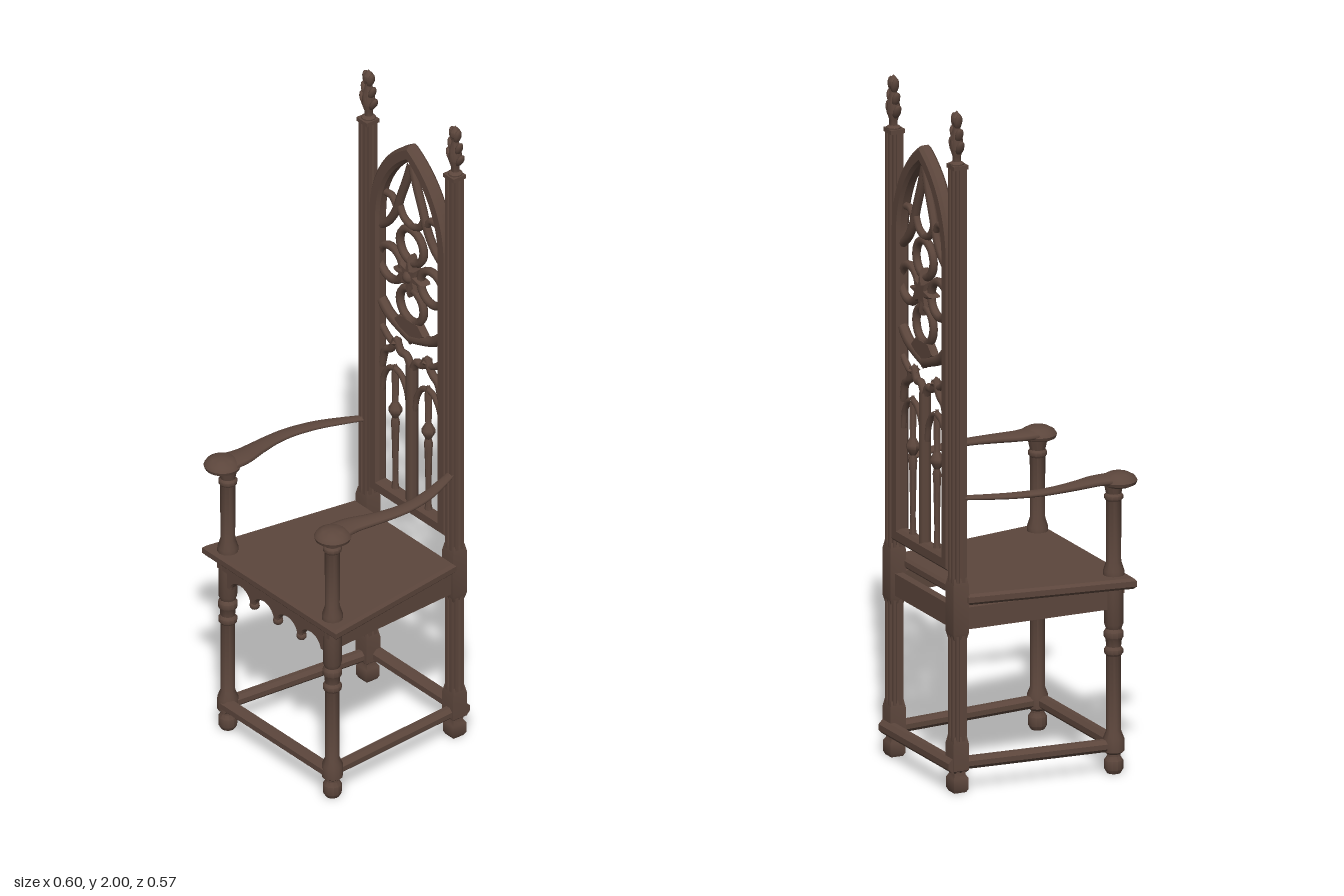
import * as THREE from 'three';
import { toCreasedNormals } from 'three/addons/utils/BufferGeometryUtils.js';

const V2 = (x, y) => new THREE.Vector2(x, y);
const V3 = (x, y, z) => new THREE.Vector3(x, y, z);

export function createModel() {
  const root = new THREE.Group();
  root.name = 'gothicArmchair';
  const wood = new THREE.MeshStandardMaterial({ color: 0x5c463c });
  wood.name = 'dark brown wood';

  const add = (name, geo, x = 0, y = 0, z = 0, parent = root) => {
    const m = new THREE.Mesh(geo, wood);
    m.name = name;
    m.position.set(x, y, z);
    parent.add(m);
    return m;
  };
  const lathe = (pts, sides = 16) =>
    toCreasedNormals(new THREE.LatheGeometry(pts.map(p => V2(p[0], p[1])), sides), 0.7);
  // straight bar between two points
  const bar = (name, a, b, w, h) => {
    const m = add(name, new THREE.BoxGeometry(w, h, a.distanceTo(b)));
    m.position.copy(a).lerp(b, 0.5);
    m.lookAt(b);
    return m;
  };
  // eight-sided rail
  const rail = (name, a, b, r) => {
    const g = new THREE.CylinderGeometry(r, r, a.distanceTo(b), 8).rotateY(Math.PI / 8).rotateX(Math.PI / 2);
    const m = add(name, toCreasedNormals(g, 0.5));
    m.position.copy(a).lerp(b, 0.5);
    m.lookAt(b);
  };
  // bevelled plate, centred in depth
  const plate = (shape, depth, bevel) => {
    const g = new THREE.ExtrudeGeometry(shape, {
      depth: depth - 2 * bevel, bevelEnabled: true, bevelThickness: bevel,
      bevelSize: bevel, bevelOffset: -bevel, bevelSegments: 1, curveSegments: 16 });
    return toCreasedNormals(g.translate(0, 0, bevel - depth / 2), 0.5);
  };

  // Seat: trapezoid board with moulded edge
  const seat = new THREE.Shape([V2(-0.3, -0.265), V2(0.3, -0.265), V2(0.226, 0.228), V2(-0.226, 0.228)]);
  add('seat', plate(seat, 0.032, 0.008).rotateX(-Math.PI / 2), 0, 0.566, 0);

  // Front apron with four scallops and pendants
  const apron = new THREE.Shape();
  apron.moveTo(-0.22, 0.55);
  apron.lineTo(-0.22, 0.47);
  for (let i = 0; i < 4; i++) {
    const x = -0.21 + i * 0.105;
    apron.lineTo(x + 0.01, 0.47);
    apron.absellipse(x + 0.0525, 0.47, 0.0425, 0.034, Math.PI, 0, true);
  }
  apron.lineTo(0.22, 0.47);
  apron.lineTo(0.22, 0.55);
  add('frontApron', plate(apron, 0.022, 0.004), 0, 0, 0.232);
  add('frontApronMoulding', new THREE.BoxGeometry(0.5, 0.025, 0.045), 0, 0.54, 0.228);
  for (const x of [-0.105, 0, 0.105]) {
    const p = add('apronPendant', new THREE.SphereGeometry(0.015, 10, 8), x, 0.466, 0.232);
    p.scale.set(1, 0.9, 1);
  }
  add('backApron', new THREE.BoxGeometry(0.36, 0.065, 0.025), 0, 0.508, -0.245);

  // Stretchers across front and back
  rail('frontStretcher', V3(-0.235, 0.082, 0.235), V3(0.235, 0.082, 0.235), 0.021);
  rail('backStretcher', V3(-0.215, 0.082, -0.266), V3(0.215, 0.082, -0.266), 0.022);

  // Notched, reeded post section
  const a = 0.0225, n = 0.008, post = new THREE.Shape();
  const corner = [[a, -a + n], [a, -0.004], [a - 0.005, 0], [a, 0.004], [a, a - n], [a - n, a - n]];
  for (let q = 0; q < 4; q++) {
    const c = Math.round(Math.cos(q * Math.PI / 2)), s = Math.round(Math.sin(q * Math.PI / 2));
    corner.forEach(([x, y], i) =>
      post[q + i ? 'lineTo' : 'moveTo'](x * c - y * s, x * s + y * c));
  }
  const postGeo = new THREE.ExtrudeGeometry(post, { depth: 1.78, bevelEnabled: false }).rotateX(-Math.PI / 2);

  const legGeo = lathe([[0, 0], [0.02, 0], [0.027, 0.012], [0.027, 0.038], [0.019, 0.05], [0.019, 0.056],
    [0.03, 0.064], [0.03, 0.102], [0.021, 0.125], [0.021, 0.345], [0.027, 0.352], [0.027, 0.364], [0.021, 0.372],
    [0.023, 0.392], [0.028, 0.4], [0.028, 0.415], [0.022, 0.424], [0.027, 0.438], [0.027, 0.552]], 12);
  const armPostGeo = lathe([[0.03, 0.58], [0.03, 0.595], [0.022, 0.62], [0.021, 0.63], [0.022, 0.8],
    [0.027, 0.806], [0.027, 0.816], [0.022, 0.822], [0.028, 0.85]], 12);
  const knobGeo = lathe([[0, 0.845], [0.034, 0.845], [0.05, 0.853], [0.053, 0.862], [0.046, 0.873],
    [0.03, 0.882], [0, 0.886]], 24);

  // Finial: slim core, outward side leaves and a bud
  const coreGeo = lathe([[0.02, 1.835], [0.021, 1.846], [0.012, 1.852], [0.012, 1.866], [0.02, 1.89], [0.017, 1.925],
    [0.011, 1.945], [0.01, 1.958], [0.016, 1.968], [0.015, 1.982], [0.007, 1.992], [0, 2]], 10);
  const finial = (g, x) => {
    add('finialCore', coreGeo, x, 0, -0.25, g);
    for (const s of [-1, 1]) for (const [y, r, tilt] of [[1.895, 0.022, 0.5], [1.93, 0.016, 0.4], [1.968, 0.01, 0.3]]) {
      const leaf = add('finialLeaf', new THREE.SphereGeometry(1, 8, 6), x + s * r, y, -0.25, g);
      leaf.scale.set(0.009, 0.024, 0.013);
      leaf.rotation.z = -s * tilt;
    }
    for (const s of [-1, 1]) {
      const leaf = add('finialLeaf', new THREE.SphereGeometry(1, 8, 6), x, 1.9, -0.25 + s * 0.011, g);
      leaf.scale.set(0.012, 0.026, 0.008);
    }
  };

  // Arm: flattened ovals swept along a curve [x, y, z, halfWidth, halfHeight]
  const armGeo = s => {
    const stations = [[0.192, 0.86, -0.24, 0.013, 0.006], [0.222, 0.861, -0.17, 0.017, 0.007],
      [0.247, 0.862, -0.1, 0.02, 0.008], [0.261, 0.863, -0.02, 0.022, 0.009], [0.26, 0.864, 0.04, 0.024, 0.010],
      [0.25, 0.865, 0.11, 0.029, 0.012], [0.24, 0.866, 0.17, 0.037, 0.013], [0.244, 0.866, 0.23, 0.045, 0.014]];
    const path = new THREE.CatmullRomCurve3(stations.map(p => V3(p[0], p[1], p[2])));
    const size = new THREE.CatmullRomCurve3(stations.map(p => V3(p[3], p[4], 0)));
    const N = 28, M = 12, pos = [], idx = [];
    for (let i = 0; i <= N; i++) {
      const p = path.getPoint(i / N), t = path.getTangent(i / N), w = size.getPoint(i / N);
      for (let j = 0; j < M; j++) {
        const u = j / M * Math.PI * 2, o = Math.cos(u) * w.x;
        pos.push(s * (p.x + o * t.z), p.y + Math.sin(u) * w.y, p.z - o * t.x);
        if (i === N) continue;
        const k = i * M + j, l = i * M + (j + 1) % M;
        idx.push(...(s > 0 ? [k, l, k + M, l, l + M, k + M] : [k, k + M, l, l, k + M, l + M]));
      }
    }
    const g = new THREE.BufferGeometry();
    g.setAttribute('position', new THREE.Float32BufferAttribute(pos, 3));
    g.setIndex(idx);
    g.computeVertexNormals();
    return g;
  };

  // Everything that comes in left and right pairs
  for (const s of [-1, 1]) {
    const side = new THREE.Group();
    side.name = s > 0 ? 'leftSide' : 'rightSide';
    root.add(side);
    const bx = s * 0.194, fx = s * 0.234;
    add('backPost', postGeo, bx, 0.06, -0.2475, side);
    add('backPostFoot', lathe([[0, 0], [0.026, 0], [0.033, 0.01], [0.033, 0.042], [0.024, 0.052], [0.024, 0.06]], 4)
      .rotateY(Math.PI / 4), bx, 0, -0.2475, side);
    add('backPostBlock', lathe([[0.024, 0.058], [0.035, 0.066], [0.035, 0.14], [0.028, 0.165]], 4)
      .rotateY(Math.PI / 4), bx, 0, -0.2475, side);
    add('backPostSeatBlock', lathe([[0.028, 0.45], [0.035, 0.47], [0.035, 0.605], [0.028, 0.63]], 4)
      .rotateY(Math.PI / 4), bx, 0, -0.2475, side);
    add('backPostCap', new THREE.BoxGeometry(0.047, 0.012, 0.045), bx, 1.836, -0.2475, side);
    finial(side, bx);
    add('frontLeg', legGeo, fx, 0, 0.225, side);
    add('armPost', armPostGeo, fx, 0, 0.225, side);
    add('armKnob', knobGeo, s * 0.247, 0, 0.234, side);
    add('arm', armGeo(s), 0, 0, 0, side);
    bar('sideApron', V3(fx, 0.516, 0.225), V3(bx, 0.507, -0.245), 0.024, 0.064);
    rail('sideStretcher', V3(fx, 0.082, 0.225), V3(bx, 0.082, -0.2475), 0.019);
  }

  // Pointed-arch back frame with one tall opening
  const back = new THREE.Group();
  back.name = 'backPanel';
  back.position.z = -0.25;
  root.add(back);
  const archOutline = (P, half, bottom) => {
    const spring = 1.55, cx = -0.161, r = half - cx, end = Math.acos(-cx / r);
    P.moveTo(-half, bottom);
    P.lineTo(half, bottom);
    P.lineTo(half, spring);
    P.absarc(cx, spring, r, 0, end, false);
    P.absarc(-cx, spring, r, Math.PI - end, Math.PI, false);
    P.lineTo(-half, bottom);
    return P;
  };
  const frame = archOutline(new THREE.Shape(), 0.175, 0.64);
  frame.holes.push(archOutline(new THREE.Path(), 0.131, 0.683));
  add('backFrame', plate(frame, 0.04, 0.009), 0, 0, 0, back);

  // Tracery ribs along smooth 2D paths
  const rib = (name, pts, r) => {
    const c = new THREE.CatmullRomCurve3(pts.map(p => V3(p[0], p[1], 0)));
    add(name, new THREE.TubeGeometry(c, 16, r, 8), 0, 0, 0, back);
  };
  const balusterGeo = lathe([[0.012, 0.68], [0.009, 0.7], [0.008, 0.74], [0.011, 0.87], [0.013, 0.9], [0.009, 0.915],
    [0.02, 0.935], [0.02, 0.945], [0.009, 0.965], [0.011, 1.06], [0.004, 1.09]], 8);
  rib('centreMullion', [[0, 0.67], [0, 0.9], [0, 1.12]], 0.018);
  for (const s of [-1, 1]) {
    add('baluster', balusterGeo, s * 0.074, 0, 0, back);
    const ribs = [
      ['outerLancet', [[0.133, 0.98], [0.124, 1.03], [0.1, 1.065], [0.074, 1.075]], 0.009],
      ['innerLancet', [[0.012, 0.98], [0.024, 1.03], [0.048, 1.065], [0.074, 1.075]], 0.009],
      ['outerOgee', [[0.135, 1.06], [0.118, 1.115], [0.09, 1.135], [0.068, 1.175]], 0.012],
      ['innerOgee', [[0, 1.1], [0.022, 1.14], [0.048, 1.142], [0.068, 1.175]], 0.012],
      ['roseFoot', [[0.135, 1.275], [0.1, 1.245], [0.05, 1.225], [0, 1.21]], 0.016],
      ['archLink', [[0.135, 1.19], [0.105, 1.165], [0.068, 1.15]], 0.01],
      ['headBranch', [[0, 1.785], [0.022, 1.72], [0.05, 1.65], [0.068, 1.6], [0.1, 1.55], [0.135, 1.52]], 0.013],
      ['headFoil', [[0.06, 1.63], [0.035, 1.59], [0, 1.575]], 0.011],
      ['headCusp', [[0.066, 1.61], [0.088, 1.635], [0.115, 1.635]], 0.011],
    ];
    for (const [name, pts, r] of ribs) rib(name, pts.map(([x, y]) => [s * x, y]), r);
    add('ogeeBud', new THREE.OctahedronGeometry(0.02), s * 0.068, 1.165, 0, back);
  }
  const foot = new THREE.Shape([V2(-0.07, 1.245), V2(-0.025, 1.215), V2(0, 1.19), V2(0.025, 1.215),
    V2(0.07, 1.245), V2(0.04, 1.275), V2(-0.04, 1.275)]);
  add('roseFootPlate', plate(foot, 0.024, 0.005), 0, 0, 0, back);

  // Rose: four rings, a pointed star and a boss
  for (let i = 0; i < 4; i++) {
    const u = i * Math.PI / 2;
    add('roseRing', new THREE.TorusGeometry(0.053, 0.0125, 8, 24), 0.092 * Math.cos(u), 1.415 + 0.097 * Math.sin(u), 0, back);
  }
  const star = new THREE.Shape();
  for (let i = 0; i < 16; i++) {
    const u = i * Math.PI / 8, r = i % 2 ? 0.034 : i % 4 ? 0.052 : 0.07;
    star[i ? 'lineTo' : 'moveTo'](r * Math.cos(u), 1.415 + r * Math.sin(u));
  }
  add('roseStar', plate(star, 0.036, 0.008), 0, 0, 0, back);
  add('roseBoss', new THREE.SphereGeometry(0.02, 12, 8), 0, 1.415, 0.01, back);
  return root;
}
